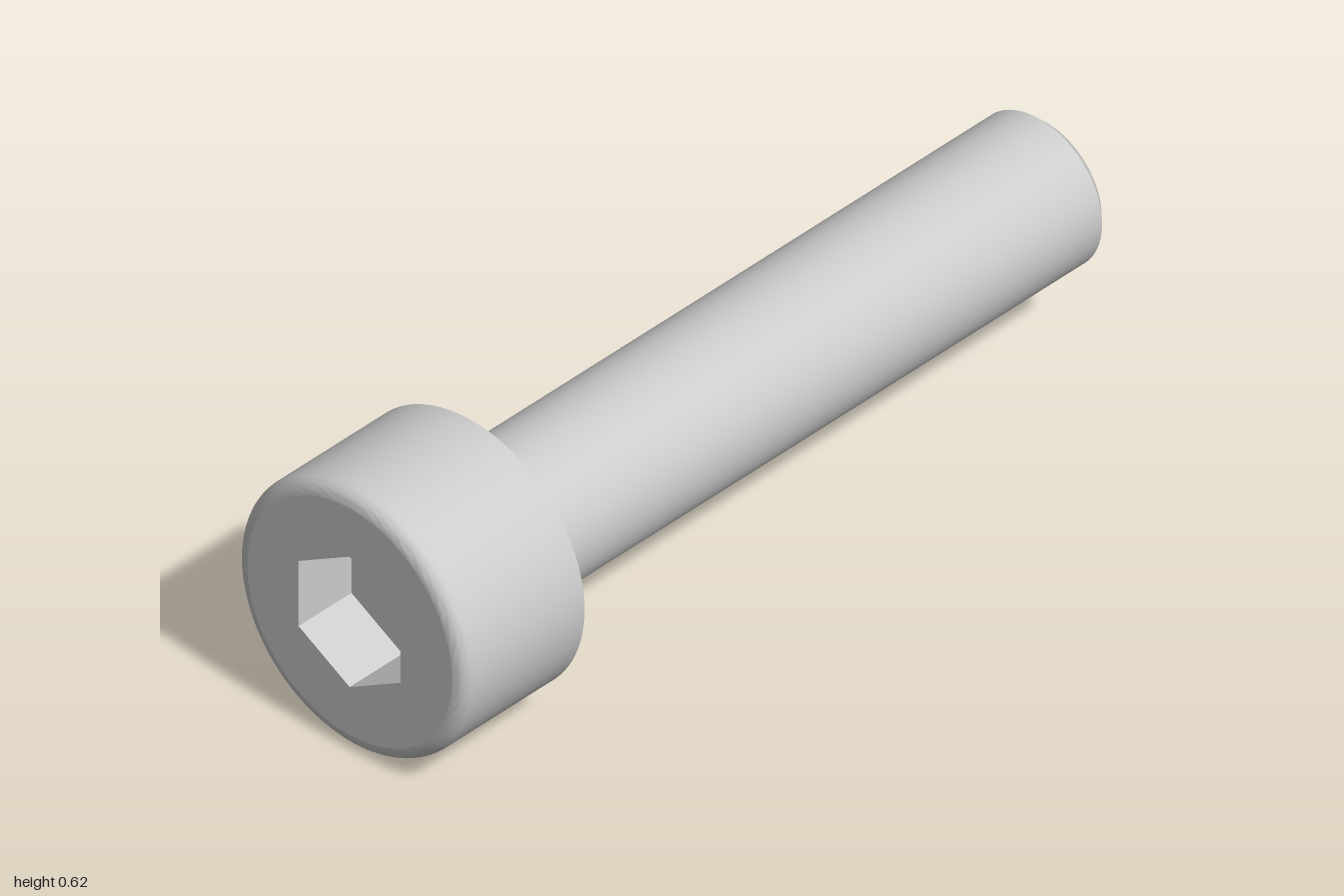
import * as THREE from 'three';
import { toCreasedNormals } from 'three/addons/utils/BufferGeometryUtils.js';

const SEGMENTS = 96;
const HEAD_R = 0.3103, SHANK_R = 0.1724;
const HEAD_START = -1, HEAD_END = -0.655, TIP = 1;
const FILLET = 0.0345, CHAMFER = 0.0207;
const HEX_R = 0.159, HEX_DEPTH = 0.152;

const grey = new THREE.MeshStandardMaterial({ color: 0xcccccc });
const greyFlat = new THREE.MeshStandardMaterial({ color: 0xcccccc, flatShading: true, side: THREE.DoubleSide });

// Revolves [radius, x] points around the x axis, keeping hard edges sharp
function turned(points) {
  const profile = points.map(([r, x]) => new THREE.Vector2(r, x));
  return toCreasedNormals(new THREE.LatheGeometry(profile, SEGMENTS).rotateZ(-Math.PI / 2), 0.5);
}

export function createModel() {
  const model = new THREE.Group();
  model.name = 'socketHeadScrew';
  model.position.y = HEAD_R;

  const add = (parent, name, geometry, material = grey) => {
    const mesh = new THREE.Mesh(geometry, material);
    mesh.name = name;
    parent.add(mesh);
  };

  const head = new THREE.Group();
  head.name = 'head';
  model.add(head);

  // Head side with a rounded outer rim and a flat underside
  const headProfile = [];
  for (let i = 0; i <= 8; i++) {
    const a = (i / 8) * Math.PI / 2;
    headProfile.push([
      HEAD_R - FILLET + FILLET * Math.sin(a),
      HEAD_START + FILLET - FILLET * Math.cos(a),
    ]);
  }
  headProfile.push([HEAD_R, HEAD_END], [SHANK_R, HEAD_END]);
  add(head, 'headBody', turned(headProfile));

  // End face with a hexagonal opening, one corner pointing up
  const face = new THREE.Shape().absarc(0, 0, HEAD_R - FILLET, 0, Math.PI * 2);
  const corners = [];
  for (let i = 0; i < 6; i++) {
    const a = Math.PI / 6 + (i * Math.PI) / 3;
    corners.push(new THREE.Vector2(HEX_R * Math.cos(a), HEX_R * Math.sin(a)));
  }
  face.holes.push(new THREE.Path(corners));
  add(head, 'headFace',
    new THREE.ShapeGeometry(face, SEGMENTS).rotateY(-Math.PI / 2).translate(HEAD_START, 0, 0));

  // Hex socket walls and floor
  add(head, 'socketWalls',
    new THREE.CylinderGeometry(HEX_R, HEX_R, HEX_DEPTH, 6, 1, true, Math.PI / 6)
      .rotateZ(-Math.PI / 2).translate(HEAD_START + HEX_DEPTH / 2, 0, 0), greyFlat);
  add(head, 'socketFloor',
    new THREE.CircleGeometry(HEX_R, 6, Math.PI / 6)
      .rotateY(-Math.PI / 2).translate(HEAD_START + HEX_DEPTH, 0, 0));

  // Plain shank with a chamfered tip
  add(model, 'shank', turned([
    [SHANK_R, HEAD_END],
    [SHANK_R, TIP - CHAMFER],
    [SHANK_R - CHAMFER, TIP],
    [0, TIP],
  ]));

  return model;
}
